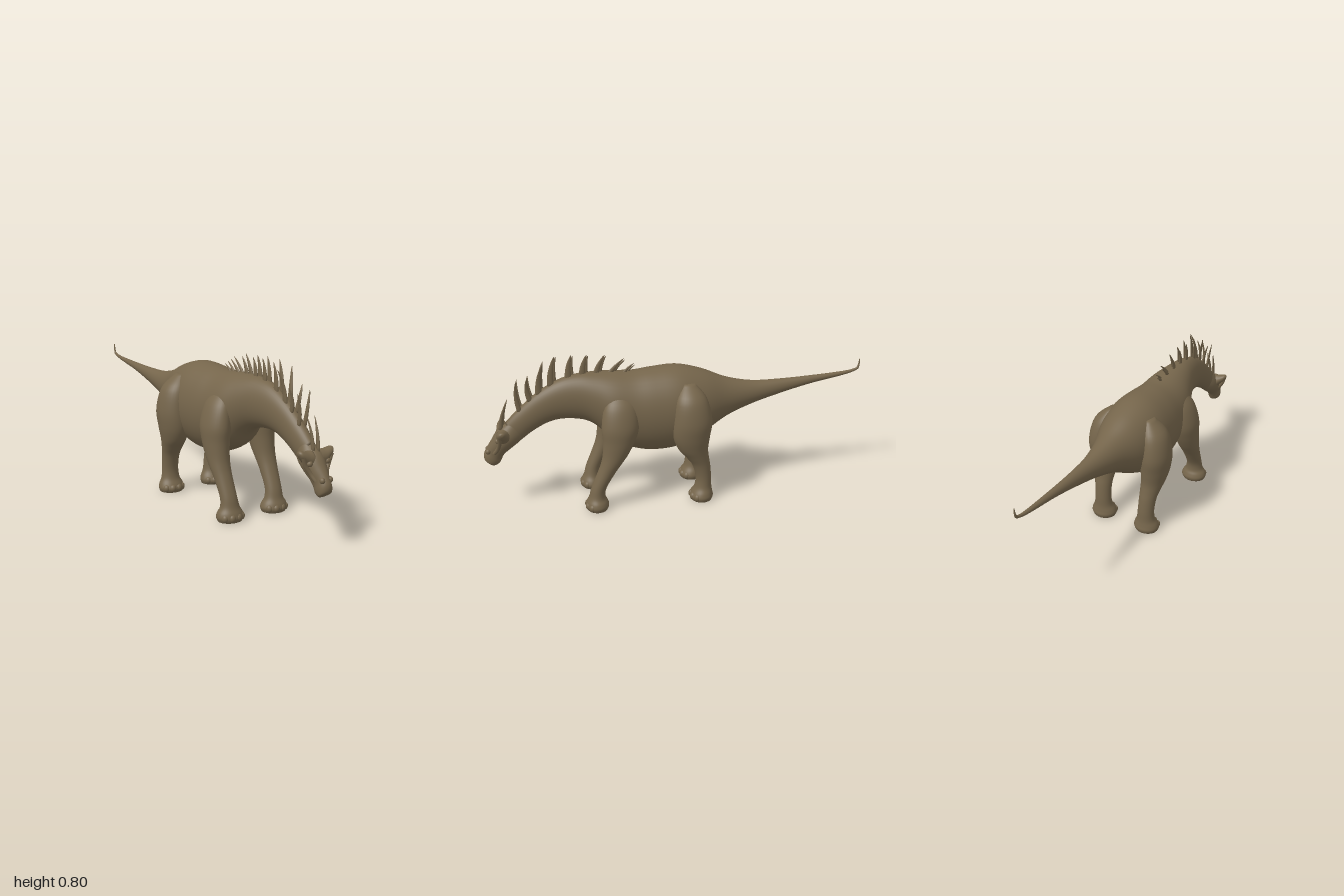
import * as THREE from 'three';

const V = (x, y, z) => new THREE.Vector3(x, y, z);

// Catmull-Rom refinement of a list of number rows
function refine(rows, steps) {
  const out = [];
  const at = i => rows[Math.max(0, Math.min(rows.length - 1, i))];
  for (let i = 0; i < rows.length - 1; i++) {
    for (let s = 0; s < steps; s++) {
      const t = s / steps;
      out.push(at(i).map((b, k) => {
        const a = at(i - 1)[k], c = at(i + 1)[k], d = at(i + 2)[k];
        return b + 0.5 * t * (c - a + t * (2 * a - 5 * b + 4 * c - d + t * (3 * (b - c) + d - a)));
      }));
    }
  }
  out.push(rows[rows.length - 1]);
  return out;
}

// Closed skin over elliptical rings { c: centre, u, v: half axes }
function loft(rings, sides = 32) {
  const pos = [], idx = [];
  const add = p => pos.push(p.x, p.y, p.z);
  for (const { c, u, v } of rings) {
    for (let j = 0; j < sides; j++) {
      const a = (j / sides) * Math.PI * 2;
      add(c.clone().addScaledVector(u, Math.cos(a)).addScaledVector(v, Math.sin(a)));
    }
  }
  const last = rings.length - 1, start = rings.length * sides, end = start + 1;
  add(rings[0].c);
  add(rings[last].c);
  for (let j = 0; j < sides; j++) {
    const k = (j + 1) % sides;
    for (let i = 0; i < last; i++) {
      const a = i * sides + j, b = i * sides + k;
      idx.push(a, b, b + sides, a, b + sides, a + sides);
    }
    idx.push(start, k, j, end, last * sides + j, last * sides + k);
  }
  // turn the faces outward if the rings run the other way
  let volume = 0;
  const p = i => V(pos[3 * i], pos[3 * i + 1], pos[3 * i + 2]);
  for (let i = 0; i < idx.length; i += 3) volume += p(idx[i]).dot(p(idx[i + 1]).cross(p(idx[i + 2])));
  if (volume < 0) idx.reverse();
  const g = new THREE.BufferGeometry();
  g.setAttribute('position', new THREE.Float32BufferAttribute(pos, 3));
  g.setIndex(idx);
  g.computeVertexNormals();
  return g;
}

// Rows: top z, top y, bottom z, bottom y, half width
const spineLoft = rows => loft(refine(rows, 5).map(([zt, yt, zb, yb, w]) => ({
  c: V(0, (yt + yb) / 2, (zt + zb) / 2),
  u: V(w, 0, 0),
  v: V(0, (yt - yb) / 2, (zt - zb) / 2),
})), 40);

// Rows: y, x, z, half width, half depth
const legLoft = (rows, side) => loft(refine(rows, 5).map(([y, x, z, rx, rz]) => ({
  c: V(side * x, y, z), u: V(rx, 0, 0), v: V(0, 0, rz),
})));

const BODY = [
  [-0.994, 0.668, -0.998, 0.668, 0.002],
  [-0.986, 0.63, -0.996, 0.624, 0.005],
  [-0.968, 0.616, -0.975, 0.604, 0.007],
  [-0.9, 0.605, -0.9, 0.583, 0.011],
  [-0.72, 0.594, -0.72, 0.55, 0.02],
  [-0.55, 0.588, -0.55, 0.508, 0.033],
  [-0.4, 0.59, -0.4, 0.465, 0.053],
  [-0.26, 0.62, -0.26, 0.41, 0.088],
  [-0.13, 0.674, -0.13, 0.33, 0.14],
  [0, 0.706, 0, 0.268, 0.17],
  [0.13, 0.7, 0.13, 0.256, 0.167],
  [0.23, 0.69, 0.24, 0.277, 0.155],
  [0.33, 0.695, 0.35, 0.33, 0.142],
  [0.42, 0.698, 0.415, 0.405, 0.11],
  [0.51, 0.694, 0.48, 0.447, 0.082],
  [0.61, 0.668, 0.58, 0.462, 0.062],
  [0.72, 0.605, 0.66, 0.45, 0.05],
  [0.82, 0.52, 0.74, 0.41, 0.042],
  [0.88, 0.46, 0.81, 0.36, 0.036],
];
const HEAD = [
  [0.84, 0.49, 0.78, 0.385, 0.03],
  [0.885, 0.45, 0.82, 0.352, 0.048],
  [0.925, 0.42, 0.86, 0.322, 0.052],
  [0.955, 0.375, 0.895, 0.293, 0.042],
  [0.98, 0.335, 0.912, 0.265, 0.034],
  [0.998, 0.3, 0.922, 0.247, 0.035],
  [0.997, 0.27, 0.945, 0.234, 0.03],
  [0.98, 0.253, 0.962, 0.24, 0.012],
];
const FRONT_LEG = [
  [0.62, 0.085, 0.31, 0.015, 0.03],
  [0.55, 0.112, 0.31, 0.05, 0.08],
  [0.45, 0.13, 0.315, 0.066, 0.095],
  [0.37, 0.135, 0.325, 0.062, 0.082],
  [0.3, 0.137, 0.345, 0.056, 0.066],
  [0.25, 0.138, 0.368, 0.051, 0.054],
  [0.2, 0.137, 0.395, 0.046, 0.046],
  [0.12, 0.135, 0.435, 0.043, 0.039],
  [0.07, 0.133, 0.446, 0.049, 0.042],
  [0.042, 0.133, 0.447, 0.065, 0.054],
  [0.02, 0.132, 0.447, 0.071, 0.06],
  [0, 0.132, 0.447, 0.063, 0.053],
];
const HIND_LEG = [
  [0.64, 0.11, -0.04, 0.02, 0.03],
  [0.57, 0.138, -0.045, 0.065, 0.08],
  [0.46, 0.154, -0.05, 0.076, 0.1],
  [0.37, 0.15, -0.046, 0.073, 0.095],
  [0.3, 0.145, -0.055, 0.062, 0.078],
  [0.25, 0.14, -0.078, 0.053, 0.06],
  [0.2, 0.136, -0.1, 0.046, 0.047],
  [0.13, 0.133, -0.113, 0.044, 0.041],
  [0.075, 0.132, -0.112, 0.049, 0.044],
  [0.042, 0.132, -0.106, 0.064, 0.055],
  [0.02, 0.132, -0.103, 0.069, 0.062],
  [0, 0.132, -0.103, 0.062, 0.055],
];
// Rows: base z, base y, tip z, tip y, half depth, base x, tip x
const SPINES = [
  [0.9, 0.43, 0.862, 0.578, 0.013, 0.012, 0.02],
  [0.8, 0.52, 0.81, 0.685, 0.015, 0.014, 0.034],
  [0.745, 0.57, 0.755, 0.7, 0.017, 0.012, 0.036],
  [0.7, 0.6, 0.675, 0.77, 0.02, 0.012, 0.04],
  [0.635, 0.64, 0.615, 0.795, 0.02, 0.01, 0.014],
  [0.545, 0.665, 0.53, 0.798, 0.02, 0.008, 0.01],
  [0.475, 0.675, 0.455, 0.793, 0.02, 0.008, 0.009],
  [0.41, 0.675, 0.365, 0.787, 0.019, 0.007, 0.008],
  [0.345, 0.675, 0.268, 0.762, 0.018, 0.006, 0.007],
  [0.27, 0.675, 0.218, 0.732, 0.014, 0.005, 0.005],
];

// Leaf-shaped spine bending back toward the tip
function spineGeometry([zb, yb, zt, yt, depth, xb, xt], side) {
  const rings = [];
  for (let i = 0; i <= 10; i++) {
    const t = i / 10, r = Math.sqrt(1 - t * t * 0.995) * (0.82 + 0.3 * t * (1 - t));
    rings.push({
      c: V(side * (xb + (xt - xb) * t * t), yb + (yt - yb) * t, zb + (zt - zb) * t + 0.035 * t * (1 - t)),
      u: V(0.0085 * r * (1 - 0.5 * t), 0, 0),
      v: V(0, 0, depth * r * (1 - 0.35 * t)),
    });
  }
  return loft(rings, 12);
}

export function createModel() {
  const model = new THREE.Group();
  const skin = new THREE.MeshStandardMaterial({ color: 0x75654b });
  skin.name = 'brownSkin';
  const add = (name, geometry) => {
    const mesh = new THREE.Mesh(geometry, skin);
    mesh.name = name;
    model.add(mesh);
    return mesh;
  };
  const blob = (name, x, y, z, rx, ry, rz) => {
    const mesh = add(name, new THREE.SphereGeometry(1, 20, 14));
    mesh.position.set(x, y, z);
    mesh.scale.set(rx, ry, rz);
    return mesh;
  };

  add('body', spineLoft(BODY));
  add('head', spineLoft(HEAD));

  for (const [label, side] of [['left', 1], ['right', -1]]) {
    // legs and toes
    for (const [part, rows] of [['FrontLeg', FRONT_LEG], ['HindLeg', HIND_LEG]]) {
      add(label + part, legLoft(rows, side));
      const [, x, z, rx, rz] = rows[rows.length - 2];
      for (let i = 0; i < 4; i++) {
        const a = (i - 1.5) * 0.62;
        blob(label + part + 'Toe', side * x + Math.sin(a) * (rx - 0.014), 0.022, z + Math.cos(a) * (rz - 0.014), 0.019, 0.021, 0.019);
      }
    }
    // brow horn: x, y, z, half height, half depth, sweeping out from the skull
    const horn = [
      [0.02, 0.395, 0.89, 0.04, 0.04],
      [0.045, 0.398, 0.895, 0.036, 0.034],
      [0.067, 0.412, 0.898, 0.026, 0.028],
      [0.086, 0.424, 0.9, 0.018, 0.02],
      [0.096, 0.43, 0.9, 0.006, 0.008],
    ];
    add(label + 'BrowHorn', loft(refine(horn, 4).map(([x, y, z, h, d]) => ({
      c: V(side * x, y, z), u: V(0, h, 0), v: V(0, 0, d),
    })), 20));
    // cheek ridge under the eye
    const ridge = new THREE.CatmullRomCurve3([
      V(side * 0.08, 0.415, 0.915), V(side * 0.066, 0.375, 0.915), V(side * 0.046, 0.34, 0.925), V(side * 0.032, 0.31, 0.945),
    ]);
    add(label + 'CheekRidge', new THREE.TubeGeometry(ridge, 16, 0.01, 10));
    blob(label + 'Eye', side * 0.05, 0.385, 0.922, 0.014, 0.014, 0.014);
    blob(label + 'Nostril', side * 0.022, 0.318, 0.975, 0.012, 0.014, 0.014);

    // paired spines, the two rows slightly staggered
    SPINES.forEach((row, i) => {
      const shift = side * (i < 4 ? 0.004 : 0.008);
      const r = row.slice();
      r[0] += shift;
      r[2] += shift * 0.5;
      if (side < 0 && i > 0) r[3] -= 0.012;
      add(label + 'NeckSpine', spineGeometry(r, side));
    });
  }
  return model;
}
